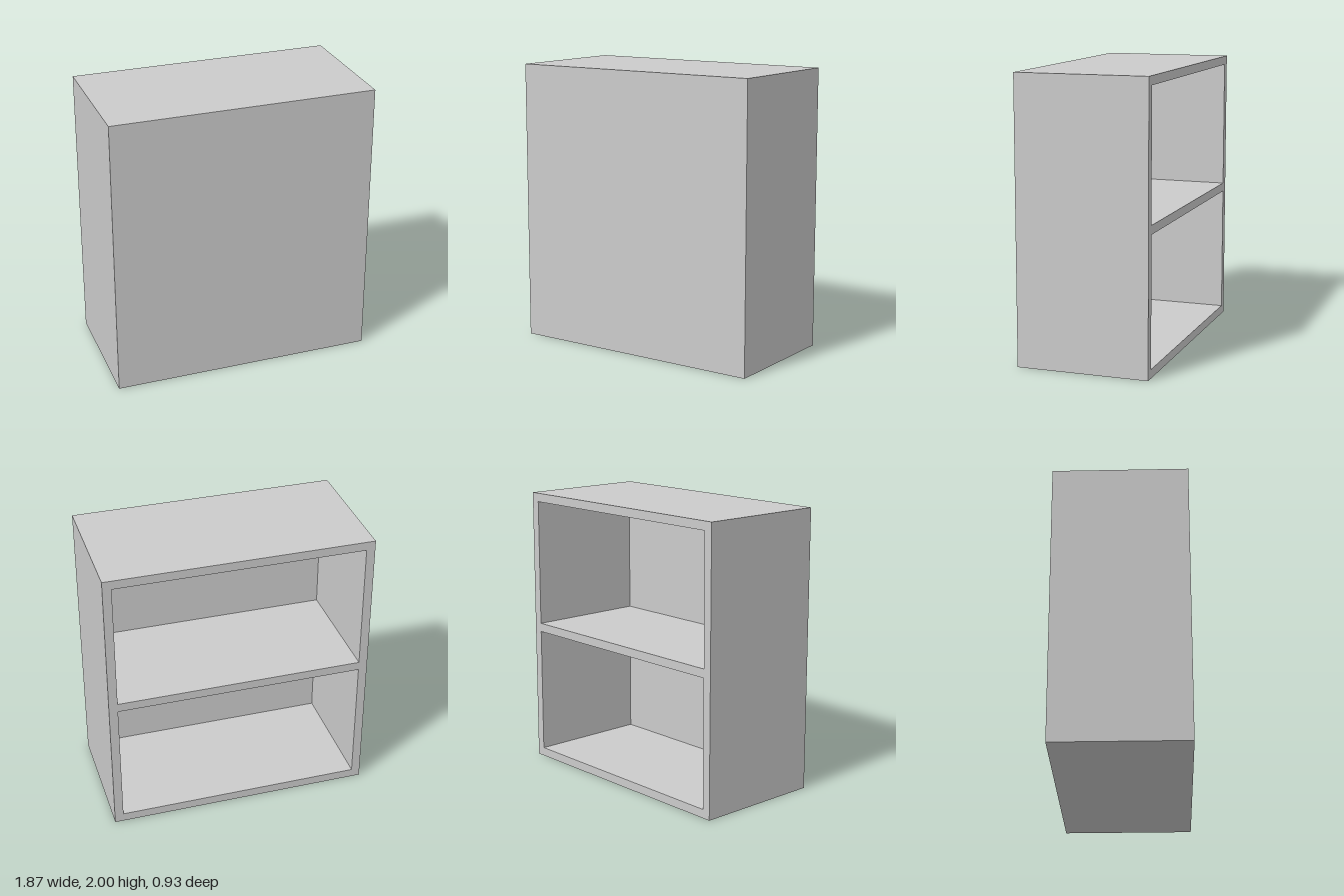
import * as THREE from 'three';

// Two-compartment cabinet: closed on the front (+z), open on the back (-z)
export function createModel() {
  const W = 1.867, H = 2, D = 0.933, T = 0.062;
  const group = new THREE.Group();
  group.name = 'cabinet';
  const material = new THREE.MeshStandardMaterial({ color: 0xcccccc });

  // Carcass frame with two openings, extruded through the depth behind the panel
  const rect = (P, x0, y0, x1, y1) => new P([
    new THREE.Vector2(x0, y0), new THREE.Vector2(x1, y0),
    new THREE.Vector2(x1, y1), new THREE.Vector2(x0, y1),
  ]);
  const frame = rect(THREE.Shape, -W / 2, 0, W / 2, H);
  const openingHeight = (H - 3 * T) / 2;
  for (let i = 0; i < 2; i++) {
    const y = T + i * (openingHeight + T);
    frame.holes.push(rect(THREE.Path, -W / 2 + T, y, W / 2 - T, y + openingHeight));
  }
  const carcass = new THREE.Mesh(
    new THREE.ExtrudeGeometry(frame, { depth: D - T, bevelEnabled: false }), material);
  carcass.name = 'carcassWithShelf';
  carcass.position.z = -D / 2;
  group.add(carcass);

  // Solid panel closing the front
  const panel = new THREE.Mesh(new THREE.BoxGeometry(W, H, T), material);
  panel.name = 'frontPanel';
  panel.position.set(0, H / 2, D / 2 - T / 2);
  group.add(panel);

  return group;
}
